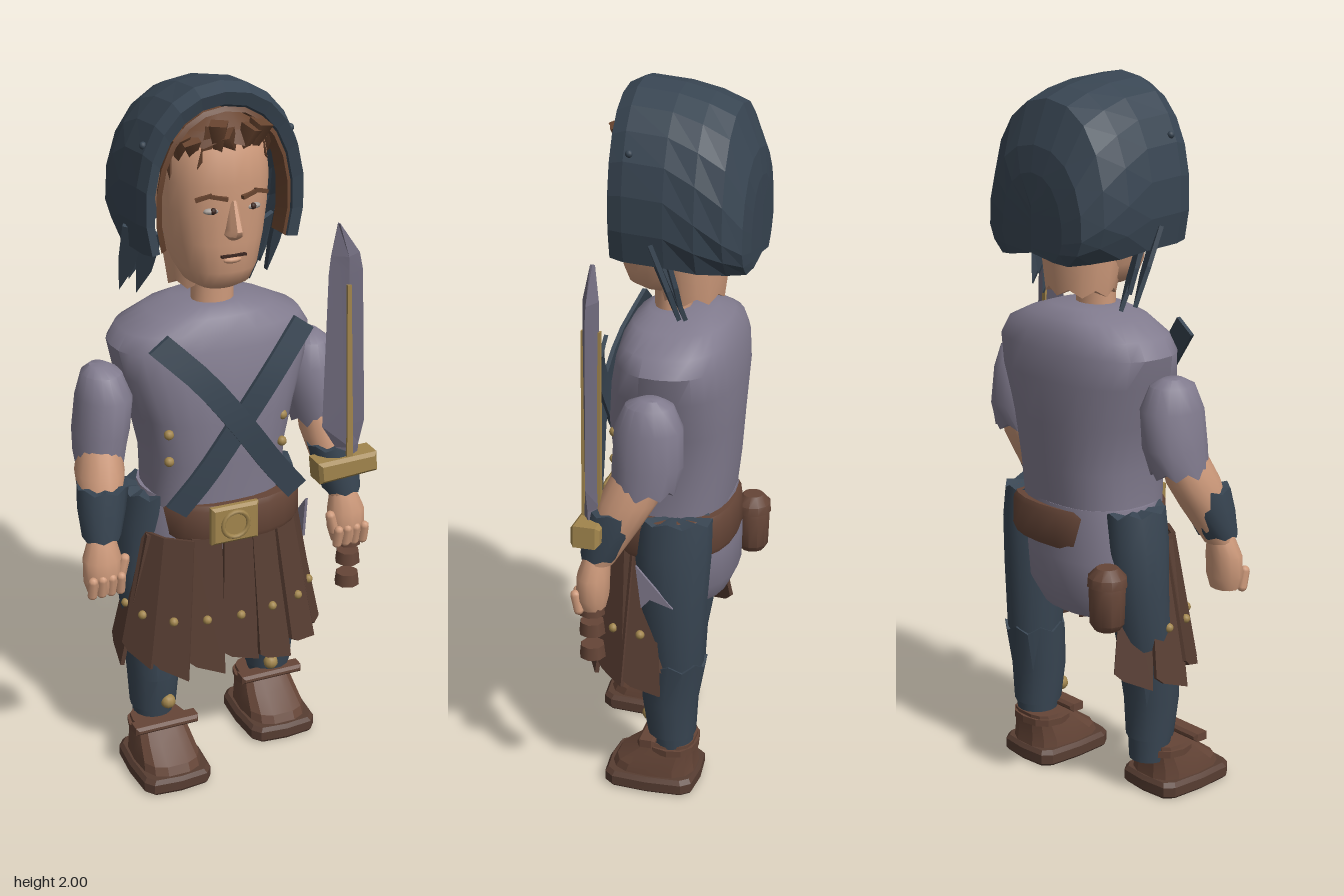
import * as THREE from 'three';
import { toCreasedNormals } from 'three/addons/utils/BufferGeometryUtils.js';

const mat = (name, color, side = THREE.FrontSide) => new THREE.MeshStandardMaterial({ name, color, side });

export function createModel() {
  const model = new THREE.Group();
  const blue = mat('slate blue', 0x384552, THREE.DoubleSide);
  const tunic = mat('tunic grey', 0x817b8e);
  const skin = mat('skin', 0xce9a7b);
  const leather = mat('leather', 0x654537);
  const strip = mat('dark leather', 0x573d32, THREE.DoubleSide);
  const hair = mat('hair brown', 0x68442f, THREE.DoubleSide);
  const gold = mat('brass', 0xa1854d);
  const steel = mat('blade grey', 0x6f6a7c);
  const white = mat('eye grey', 0xa8a09a);
  const dark = mat('dark line', 0x3a2620);

  const add = (name, geo, material, x = 0, y = 0, z = 0) => {
    const m = new THREE.Mesh(geo, material);
    m.name = name;
    m.position.set(x, y, z);
    model.add(m);
    return m;
  };

  // Skins a list of point rings; closed rings get end caps and outward faces.
  function skinRings(rings, closed = true, crease = 0.7) {
    const n = rings[0].length, pts = rings.flat(), idx = [];
    const wrap = closed ? n : n - 1;
    for (let i = 0; i < rings.length - 1; i++) {
      for (let j = 0; j < wrap; j++) {
        const k = (j + 1) % n, a = i * n + j, b = i * n + k;
        idx.push(a, a + n, b, b, a + n, b + n);
      }
    }
    if (closed) {
      [0, rings.length - 1].forEach((r, end) => {
        const c = pts.length;
        pts.push(rings[r].reduce((s, p) => s.add(p), new THREE.Vector3()).divideScalar(n));
        for (let j = 0; j < n; j++) {
          const a = r * n + j, b = r * n + (j + 1) % n;
          idx.push(c, ...(end ? [b, a] : [a, b]));
        }
      });
      let volume = 0;
      for (let i = 0; i < idx.length; i += 3) {
        volume += pts[idx[i]].dot(pts[idx[i + 1]].clone().cross(pts[idx[i + 2]]));
      }
      if (volume < 0) idx.reverse();
    }
    const g = new THREE.BufferGeometry().setFromPoints(pts);
    g.setIndex(idx);
    return toCreasedNormals(g, crease);
  }

  // Level cross-sections: [y, centre x, centre z, half width, half depth, ragged edge]
  const power = (v, e) => Math.sign(v) * Math.abs(v) ** e;
  const loft = (rows, n = 20, e = 1, crease = 0.7) => skinRings(rows.map(([y, cx, cz, rx, rz, jag = 0]) =>
    Array.from({ length: n }, (_, j) => {
      const a = j / n * Math.PI * 2;
      return new THREE.Vector3(cx + rx * power(Math.cos(a), e), y + (j % 2 ? jag : 0), cz + rz * power(Math.sin(a), e));
    })), true, crease);

  const polygon = (p) => new THREE.Shape(p.map(([x, y]) => new THREE.Vector2(x, y)));
  const plate = (p, depth, bevel = 0) => new THREE.ExtrudeGeometry(polygon(p),
    { depth, bevelEnabled: bevel > 0, bevelSize: bevel, bevelThickness: bevel, bevelSegments: 1 });
  const ball = (r) => new THREE.SphereGeometry(r, 10, 8);

  // Torso, tunic hem and the torn tunic corner at the left hip
  add('tunicBody', loft([[0.82, 0, -0.02, 0.2, 0.16], [0.95, 0, -0.025, 0.2, 0.17], [1.08, 0, -0.025, 0.228, 0.178],
    [1.2, 0, -0.035, 0.268, 0.175], [1.28, 0, -0.04, 0.285, 0.163], [1.325, 0, -0.04, 0.258, 0.15],
    [1.363, 0, -0.04, 0.175, 0.13], [1.387, 0, -0.04, 0.1, 0.09]], 28, 0.8), tunic);
  add('tunicHem', loft([[0.85, -0.01, -0.03, 0.2, 0.155], [0.7, -0.025, -0.03, 0.212, 0.165], [0.6, -0.03, -0.035, 0.205, 0.157],
    [0.54, -0.035, -0.04, 0.165, 0.125]], 24, 0.9), tunic);
  add('tunicCorner', plate([[-0.02, 0.73], [0.085, 0.61], [0.02, 0.63], [-0.005, 0.6]], 0.008), tunic, 0.279, 0, 0).rotation.y = Math.PI / 2;
  for (const x of [-0.18, 0.155]) for (const y of [0.98, 1.06]) add('tunicButton', ball(0.014), gold, x, y, 0.115);

  // Crossed chest straps
  for (const s of [1, -1]) {
    const path = new THREE.CatmullRomCurve3([[-0.21, 1.33, 0.125], [-0.1, 1.22, 0.172], [0, 1.09, 0.186 + s * 0.005],
      [0.1, 0.95, 0.175], [0.18, 0.85, 0.16]].map(([x, y, z]) => new THREE.Vector3(x * s, y, z)));
    const across = new THREE.Vector3(0.8 * s, 0.6, 0).multiplyScalar(0.034);
    add('chestStrap', skinRings(path.getPoints(10).map((p) => [[1, 0.006], [-1, 0.006], [-1, -0.006], [1, -0.006]]
      .map(([u, z]) => p.clone().addScaledVector(across, u).add(new THREE.Vector3(0, 0, z))))), blue);
  }

  // Belt, buckle and pouch
  add('belt', loft([[0.73, 0.025, -0.015, 0.215, 0.184], [0.745, 0.025, -0.015, 0.222, 0.19], [0.825, 0.025, -0.015, 0.22, 0.188],
    [0.84, 0.025, -0.015, 0.212, 0.18]], 24, 0.85), leather);
  add('buckle', plate([[-0.062, -0.048], [0.062, -0.048], [0.062, 0.048], [-0.062, 0.048]], 0.012, 0.008), gold, -0.014, 0.79, 0.167);
  add('buckleRing', new THREE.TorusGeometry(0.038, 0.007, 6, 18), gold, -0.014, 0.79, 0.187);
  add('pouch', loft([[0.55, -0.24, -0.185, 0.035, 0.035], [0.57, -0.24, -0.185, 0.05, 0.047], [0.66, -0.24, -0.185, 0.053, 0.05],
    [0.68, -0.24, -0.185, 0.048, 0.046]], 12), leather);
  add('pouchLid', loft([[0.675, -0.24, -0.185, 0.057, 0.054], [0.7, -0.24, -0.185, 0.055, 0.052],
    [0.725, -0.24, -0.185, 0.03, 0.03]], 12), leather);

  // Skirt of torn leather strips, open at the back
  for (let i = 0; i < 11; i++) {
    const a = (i - 5) / 5 * 2, len = 0.38 + 0.015 * Math.sin(i * 2.3);
    const x = 0.215 * Math.sin(a), z = 0.025 + 0.13 * Math.cos(a);
    const g = new THREE.Group();
    g.name = 'skirtStrip';
    g.position.set(x, 0.742, z + (i % 2) * 0.006);
    g.rotation.set(-0.08 - 0.12 * Math.abs(Math.sin(a)), Math.atan2(x / 0.046, (z - 0.025) / 0.017), x * 0.25, 'YXZ');
    g.add(new THREE.Mesh(plate([[-0.042, 0], [-0.056, -len + 0.02], [-0.03, -len], [0.052, -len - 0.025], [0.042, 0]], 0.012), strip));
    const stud = new THREE.Mesh(ball(0.013), gold);
    stud.position.set(0, -0.24, 0.014);
    g.add(stud);
    model.add(g);
  }

  // Legs, greaves and shoes, one foot a step ahead
  for (const s of [1, -1]) {
    const x = 0.2 * s, f = s > 0 ? -0.055 : 0.02, hip = s > 0 ? -0.06 : -0.035, depth = s > 0 ? 0.11 : 0.095;
    add('trouserLeg', loft([[0.1, x, f - 0.01, 0.055, 0.055], [0.25, x, f, 0.067, 0.072], [0.4, x, f - 0.015, 0.075, 0.082],
      [0.6, x, hip, 0.086, depth - 0.01], [0.75, x * 0.97, hip, 0.082, depth], [0.85, x * 0.93, hip, 0.072, depth, -0.015]], 16), blue);
    add('greave', loft([[0.17, x, f - 0.005, 0.067, 0.069], [0.28, x, f, 0.075, 0.08],
      [0.42, x, f - 0.015, 0.082, 0.09, -0.02]], 14, 1, 0.5), blue);
    add('greaveStud', ball(0.022), gold, x * 0.9, 0.2, f + 0.066);

    const c = s > 0 ? -0.005 : 0.115, sx = s > 0 ? 0.182 : -0.205;
    add('shoeSole', loft([[0, sx, c, 0.1, 0.13], [0.008, sx, c, 0.108, 0.135], [0.035, sx, c, 0.108, 0.135],
      [0.047, sx, c, 0.098, 0.127]], 12, 0.42, 0.3), strip);
    add('shoeUpper', loft([[0.04, sx, c - 0.002, 0.093, 0.124], [0.07, sx, c - 0.008, 0.09, 0.114],
      [0.11, sx, c - 0.035, 0.082, 0.085], [0.145, sx, c - 0.055, 0.074, 0.066]], 14, 0.7, 0.3), leather);
    add('shoeStrap', plate([[-0.088, -0.004], [0.088, -0.004], [0.088, 0.004], [-0.088, 0.004]], 0.035, 0.008), leather,
      sx, 0.157, s > 0 ? -0.02 : 0.105);
    add('ankleBand', loft([[0.115, sx, c - 0.055, 0.085, 0.074], [0.135, sx, c - 0.055, 0.086, 0.074]], 12, 0.85, 0.3), leather);
  }

  // Arms: sleeve, forearm, bracer and curled hand
  for (const s of [1, -1]) {
    const o = s > 0 ? -0.015 : 0.005;
    const limb = (name, rows, m, n = 16) => add(name, loft(rows.map(([y, x, ...r]) => [y, (x + o) * s, ...r]), n), m);
    limb('sleeve', [[1.235, 0.318, -0.03, 0.025, 0.03], [1.215, 0.312, -0.025, 0.055, 0.065], [1.15, 0.308, -0.022, 0.077, 0.093],
      [1.05, 0.32, -0.022, 0.077, 0.097], [0.97, 0.33, -0.012, 0.07, 0.085, 0.02]], tunic);
    limb('forearm', [[1.03, 0.33, -0.005, 0.055, 0.07], [0.95, 0.343, 0.025, 0.067, 0.08], [0.88, 0.352, 0.055, 0.06, 0.068],
      [0.77, 0.37, 0.1, 0.04, 0.042]], skin);
    limb('bracer', [[0.93, 0.348, 0.06, 0.07, 0.075, -0.012], [0.86, 0.358, 0.075, 0.066, 0.07],
      [0.785, 0.368, 0.098, 0.054, 0.052, 0.008]], blue, 14);
    limb('palm', [[0.785, 0.37, 0.105, 0.038, 0.036], [0.73, 0.375, 0.115, 0.055, 0.045], [0.67, 0.375, 0.118, 0.056, 0.045],
      [0.635, 0.375, 0.118, 0.045, 0.036]], skin, 12);
    for (let i = 0; i < 4; i++) {
      const finger = add('finger', new THREE.CapsuleGeometry(0.014, 0.045, 3, 8), skin, s * (0.335 + o + i * 0.027), 0.66, 0.15);
      finger.rotation.x = 0.2;
    }
    const thumb = add('thumb', new THREE.CapsuleGeometry(0.015, 0.05, 3, 8), skin, s * (0.323 + o), 0.7, 0.135);
    thumb.rotation.z = 0.25 * s;
  }

  // Sword held upright in the left hand: ridged blade, guard and grip rings
  add('swordBlade', skinRings([[0.89, 0.325, 0.39], [0.93, 0.32, 0.392], [1, 0.277, 0.408], [1.45, 0.285, 0.388], [1.5, 0.29, 0.377],
    [1.59, 0.309, 0.315]].map(([y, l, r], i) => [[l, 0], [(l + r) / 2, 0.022], [r, 0], [(l + r) / 2, -0.022]]
    .map(([x, z]) => new THREE.Vector3(x, y, 0.118 + z * (i === 5 ? 0.3 : 1)))), true, 0.1), steel);
  for (const z of [0.135, 0.092]) {
    add('bladeStripe', plate([[0.345, 0.9], [0.364, 0.9], [0.342, 1.42], [0.33, 1.42]], 0.009), gold, 0, 0, z);
  }
  add('swordGuard', plate([[-0.075, -0.025], [0.085, -0.015], [0.082, 0.025], [-0.08, 0.02]], 0.06, 0.01), gold, 0.345, 0.872, 0.085);
  for (const y of [0.635, 0.575, 0.503]) add('gripRing', new THREE.CylinderGeometry(0.033, 0.037, 0.036, 8), leather, 0.37, y, 0.118);

  // Head and neck
  add('neck', loft([[1.36, 0, -0.01, 0.06, 0.05], [1.45, 0, -0.01, 0.06, 0.05]], 14), skin);
  add('nape', loft([[1.42, 0, -0.065, 0.105, 0.085, 0.02], [1.5, 0, -0.06, 0.115, 0.1], [1.62, 0, -0.05, 0.12, 0.12]], 16), skin);
  add('head', loft([[1.44, 0, 0.02, 0.055, 0.055], [1.46, 0, 0.01, 0.088, 0.1], [1.5, 0, -0.005, 0.11, 0.13],
    [1.58, 0, -0.02, 0.13, 0.152], [1.66, 0, -0.022, 0.142, 0.155], [1.74, 0, -0.022, 0.146, 0.16], [1.83, 0, -0.022, 0.138, 0.15],
    [1.89, 0, -0.022, 0.1, 0.115], [1.91, 0, -0.022, 0.04, 0.05]], 24, 0.88, 1.2), skin);
  add('nose', loft([[1.595, 0, 0.128, 0.014, 0.015], [1.61, 0, 0.132, 0.027, 0.036], [1.625, 0, 0.13, 0.022, 0.044],
    [1.7, 0, 0.122, 0.011, 0.016]], 10), skin);
  add('lips', new THREE.BoxGeometry(0.07, 0.006, 0.01), dark, 0, 1.55, 0.132);
  add('lowerLip', ball(0.02), skin, 0, 1.536, 0.122).scale.set(1.4, 0.5, 0.7);
  for (const s of [1, -1]) {
    add('eye', ball(0.024), white, s * 0.057, 1.675, 0.12).scale.set(1, 0.38, 0.55);
    add('iris', ball(0.009), dark, s * 0.056, 1.676, 0.127);
    for (const [x, y, r] of [[0.042, 1.712, 0.2], [0.08, 1.713, -0.3]]) {
      add('eyebrow', new THREE.BoxGeometry(0.046, 0.01, 0.012), hair, s * x, y, x < 0.05 ? 0.134 : 0.121).rotation.set(0, s * 0.3, s * r);
    }
  }

  // Hair: cap, ragged fringe and side hair
  add('hairCap', loft([[1.84, 0, -0.025, 0.144, 0.158, 0.02], [1.88, 0, -0.025, 0.128, 0.14], [1.92, 0, -0.03, 0.075, 0.09]], 18, 0.9, 0.4), hair);
  for (let i = 0; i < 13; i++) {
    const a = (i - 6) / 6 * 1.5;
    const lock = add('hairLock', new THREE.ConeGeometry(0.032, 0.085 + 0.025 * (i % 3), 4), hair,
      0.14 * Math.sin(a), 1.838 - 0.06 * (Math.abs(i - 6) / 6) ** 2, -0.02 + 0.136 * Math.cos(a));
    lock.rotation.set(Math.PI + 0.1, a, 0.6 * Math.sin(i * 1.9));
  }

  // Hood: arches from the front rim to the flat back [z, half width, top, base, inward curl at the bottom]
  const arch = ([z, w, top, base, curl = 0.4]) => Array.from({ length: 15 }, (_, j) => {
    const a = -curl + j / 14 * (Math.PI + 2 * curl), s = Math.sin(a), mid = base + 0.28 * (top - base);
    return new THREE.Vector3(-0.012 + w * power(Math.cos(a), 0.92),
      s > 0 ? mid + (top - mid) * s ** 0.92 : mid + (mid - base) * s / Math.sin(curl), z);
  });
  add('hood', skinRings([[0.06, 0.185, 1.93, 1.57], [0.1, 0.195, 1.945, 1.57], [0.11, 0.222, 1.98, 1.57], [0.07, 0.234, 2, 1.565],
    [-0.04, 0.24, 1.99, 1.56], [-0.12, 0.238, 1.972, 1.545, 0.55], [-0.19, 0.222, 1.945, 1.535, 0.75], [-0.235, 0.185, 1.83, 1.53, 0.8],
    [-0.245, 0.12, 1.76, 1.535, 0.8], [-0.247, 0, 1.68, 1.55, 0.8]].map(arch), false, 0.01), blue);
  add('hoodLining', skinRings([[0.098, 0.19, 1.94, 1.57], [0.105, 0.178, 1.928, 1.58], [0.05, 0.17, 1.92, 1.58]].map(arch), false, 0.3), hair);
  for (const x of [-0.218, 0.194]) add('hoodRivet', ball(0.01), blue, x, 1.85, 0.055);

  // Torn cloth ends below the hood
  for (const s of [1, -1]) {
    for (const [x, y, z, w, len, tilt] of [[0.21, 1.62, 0, 0.06, 0.22, 0.4], [0.16, 1.6, 0, 0.06, 0.22, 0.42], [0.185, 1.58, -0.04, 0.05, 0.14, 0.3]]) {
      const end = add('clothEnd', plate([[-w / 2, 0], [-w * 0.45, -len * 0.5], [-w * 0.2, -len], [w * 0.3, -len * 0.6], [w / 2, 0]], 0.012),
        blue, x * s - 0.014, y, z);
      end.rotation.set(tilt, s * 0.5, 0);
    }
  }
  return model;
}
